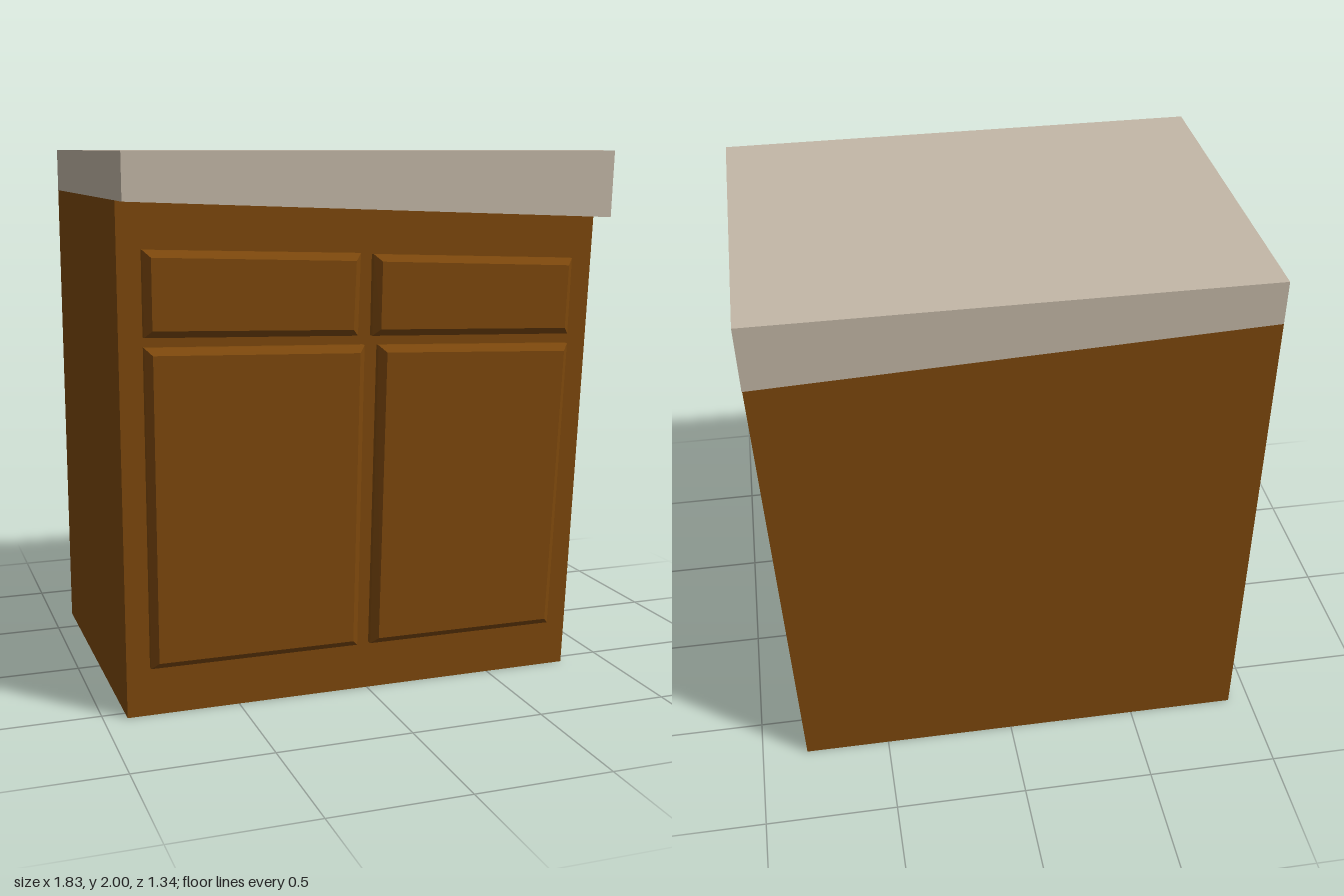
import * as THREE from 'three';

const wood = new THREE.MeshStandardMaterial({ color: 0x7d480c });
wood.name = 'brown wood';
const stone = new THREE.MeshStandardMaterial({ color: 0xc4b8a7 });
stone.name = 'beige stone';

// Solid from four-cornered sections [corners, z], back to front.
// Corners run bottom left, bottom right, top right, top left.
function loft(name, material, sections) {
  const pos = [];
  const rings = sections.map(([c, z]) => c.map(([x, y]) => [x, y, z]));
  const quad = (a, b, c, d) => pos.push(...a, ...b, ...c, ...a, ...c, ...d);
  for (let s = 0; s < rings.length - 1; s++) {
    for (let i = 0; i < 4; i++) {
      const j = (i + 1) % 4;
      quad(rings[s][i], rings[s][j], rings[s + 1][j], rings[s + 1][i]);
    }
  }
  const back = rings[0];
  quad(back[3], back[2], back[1], back[0]);
  quad(...rings[rings.length - 1]);
  const geo = new THREE.BufferGeometry();
  geo.setAttribute('position', new THREE.Float32BufferAttribute(pos, 3));
  geo.computeVertexNormals();
  const mesh = new THREE.Mesh(geo, material);
  mesh.name = name;
  return mesh;
}

// Raised panel with a chamfered rim
function panel(name, corners) {
  const inset = 0.025;
  const signs = [[1, 1], [-1, 1], [-1, -1], [1, -1]];
  const inner = corners.map(([x, y], i) => [x + signs[i][0] * inset, y + signs[i][1] * inset]);
  return loft(name, wood, [[corners, 0.545], [corners, 0.57], [inner, 0.595]]);
}

export function createModel() {
  const group = new THREE.Group();
  group.name = 'crookedCabinet';

  // Skewed carcass and wedge-shaped countertop
  const body = [[-0.915, 0], [0.825, 0], [0.905, 1.757], [-0.915, 1.836]];
  const top = [[-0.915, 1.836], [0.907, 1.757], [0.915, 2], [-0.915, 2]];
  group.add(loft('cabinetBody', wood, [[body, -0.67], [body, 0.548]]));
  group.add(loft('countertop', stone, [[top, -0.67], [top, 0.67]]));

  // Two drawers above two doors
  group.add(
    panel('rightDrawer', [[-0.83, 1.37], [-0.05, 1.345], [-0.04, 1.64], [-0.83, 1.67]]),
    panel('leftDrawer', [[0.005, 1.342], [0.797, 1.317], [0.807, 1.602], [0.01, 1.635]]),
    panel('rightDoor', [[-0.83, 0.182], [-0.047, 0.18], [-0.024, 1.31], [-0.83, 1.335]]),
    panel('leftDoor', [[0.005, 0.18], [0.747, 0.178], [0.797, 1.28], [0.03, 1.307]])
  );
  return group;
}
